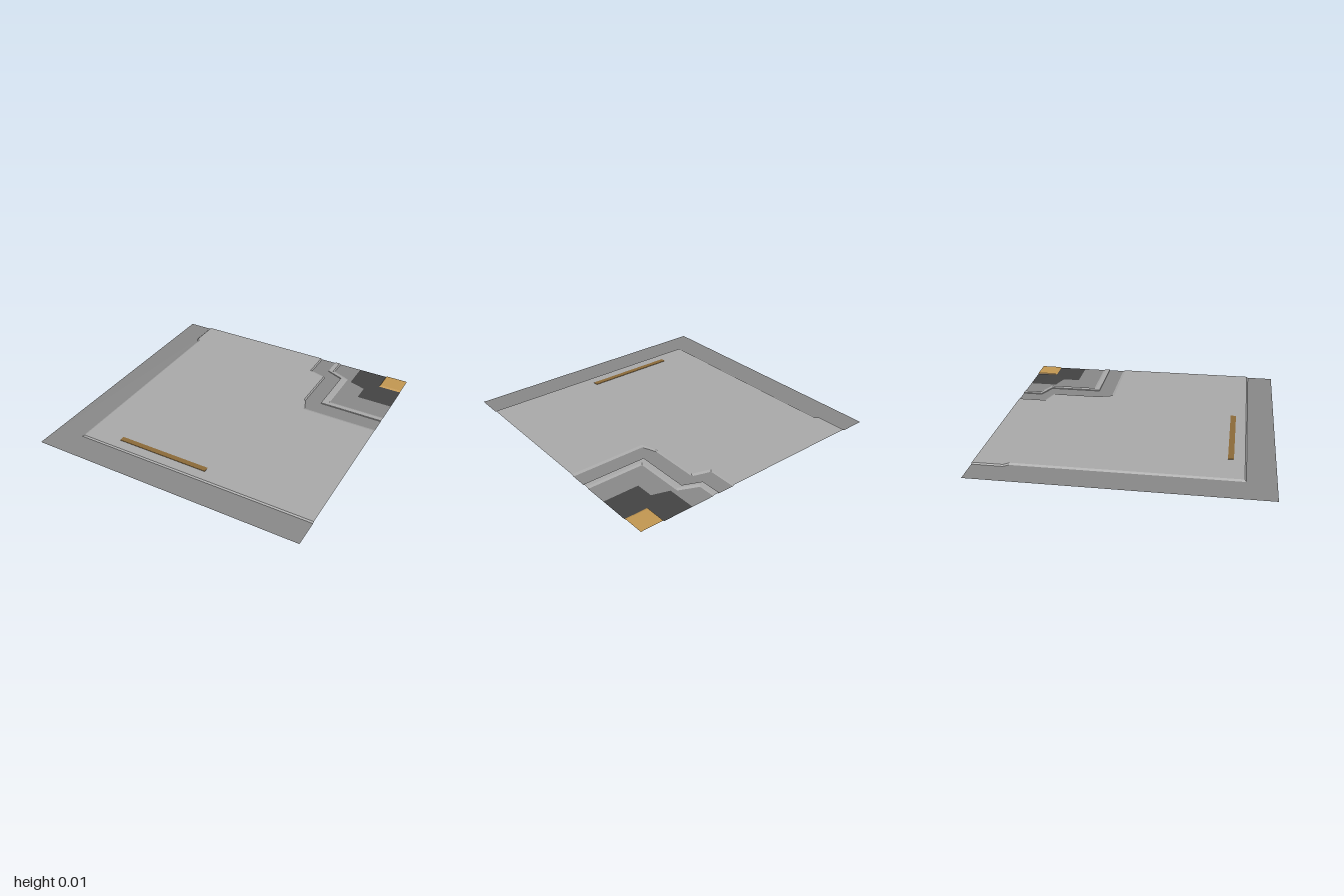
import * as THREE from 'three';

const FLOOR = 0.009, LOW = 0.002, TOP = 0.012;

const material = (color) => new THREE.MeshStandardMaterial({ color, side: THREE.DoubleSide, flatShading: true });
const paint = {
  floor: material(0xa7a7a7),
  border: material(0x878787),
  dark: material(0x424242),
  gold: material(0xc09550),
  bronze: material(0x8a6938),
};

// Flat horizontal panel from an [x, z] outline
function panel(name, outline, y, mat) {
  const shape = new THREE.Shape(outline.map(([x, z]) => new THREE.Vector2(x, -z)));
  const geo = new THREE.ShapeGeometry(shape).rotateX(-Math.PI / 2).translate(0, y, 0);
  const mesh = new THREE.Mesh(geo, mat);
  mesh.name = name;
  return mesh;
}

// Sloped or upright strip joining two [x, z] paths with equal point counts
function strip(name, a, ya, b, yb, mat) {
  const pos = [];
  for (let i = 0; i < a.length - 1; i++) {
    const p = [a[i][0], ya, a[i][1]], q = [a[i + 1][0], ya, a[i + 1][1]];
    const r = [b[i + 1][0], yb, b[i + 1][1]], s = [b[i][0], yb, b[i][1]];
    pos.push(...p, ...q, ...r, ...p, ...r, ...s);
  }
  const geo = new THREE.BufferGeometry();
  geo.setAttribute('position', new THREE.Float32BufferAttribute(pos, 3));
  geo.computeVertexNormals();
  const mesh = new THREE.Mesh(geo, mat);
  mesh.name = name;
  return mesh;
}

const between = (a, b) => [...a, ...[...b].reverse()];

export function createModel() {
  const group = new THREE.Group();
  group.name = 'floorTile';

  // Outer edge of the raised floor, at the foot and at the top of its bevel
  const edgeFoot = [[-0.815, -1], [-0.815, -0.785], [-0.79, -0.75], [-0.79, 0.805], [1, 0.805]];
  const edgeTop = [[-0.805, -1], [-0.805, -0.785], [-0.775, -0.75], [-0.775, 0.795], [1, 0.795]];
  const tileEdge = [[-1, -1], [-1, 1], [1, 1]];

  // Stepped contours around the back corner, from the floor inwards
  const floorTop = [[0.265, -1], [0.265, -0.78], [0.395, -0.74], [0.395, -0.385], [0.435, -0.26], [1, -0.26]];
  const floorFoot = [[0.275, -1], [0.275, -0.795], [0.405, -0.755], [0.405, -0.385], [0.445, -0.28], [1, -0.28]];
  const ridgeOuter = [[0.395, -1], [0.395, -0.85], [0.525, -0.795], [0.525, -0.4], [1, -0.4]];
  const ridgeTop = [[0.43, -1], [0.43, -0.86], [0.565, -0.8], [0.565, -0.435], [1, -0.435]];
  const ridgeFoot = [[0.44, -1], [0.44, -0.875], [0.577, -0.815], [0.577, -0.452], [1, -0.452]];
  const pitEdge = [[0.61, -1], [0.61, -0.79], [0.735, -0.75], [0.735, -0.62], [1, -0.62]];
  const padFoot = [[0.83, -1], [0.83, -0.838], [1, -0.838]];
  const padTop = [[0.835, -1], [0.835, -0.853], [1, -0.853]];

  // Low border and raised floor
  group.add(
    panel('border', between(tileEdge, edgeFoot), 0, paint.border),
    strip('floorEdgeBevel', edgeFoot, 0, edgeTop, FLOOR, paint.floor),
    panel('floor', between(edgeTop, floorTop), FLOOR, paint.floor),
  );

  // Corner steps
  group.add(
    strip('floorCornerBevel', floorTop, FLOOR, floorFoot, LOW, paint.floor),
    panel('outerChannel', between(floorFoot, ridgeOuter), LOW, paint.border),
    strip('ridgeWall', ridgeOuter, LOW, ridgeOuter, FLOOR, paint.floor),
    panel('ridge', between(ridgeOuter, ridgeTop), FLOOR, paint.floor),
    strip('ridgeBevel', ridgeTop, FLOOR, ridgeFoot, LOW, paint.floor),
    panel('innerChannel', between(ridgeFoot, pitEdge), LOW, paint.border),
    panel('darkPit', between(pitEdge, padFoot), LOW, paint.dark),
    strip('cornerPadBevel', padFoot, LOW, padTop, FLOOR, paint.gold),
    panel('cornerPad', [...padTop, [1, -1]], FLOOR, paint.gold),
  );

  // Raised bar on the floor near the front
  const bar = new THREE.Mesh(new THREE.BoxGeometry(0.695, TOP - FLOOR, 0.04), paint.bronze);
  bar.name = 'floorBar';
  bar.position.set(-0.1725, (TOP + FLOOR) / 2 + 0.0002, 0.7);
  group.add(bar);

  return group;
}
